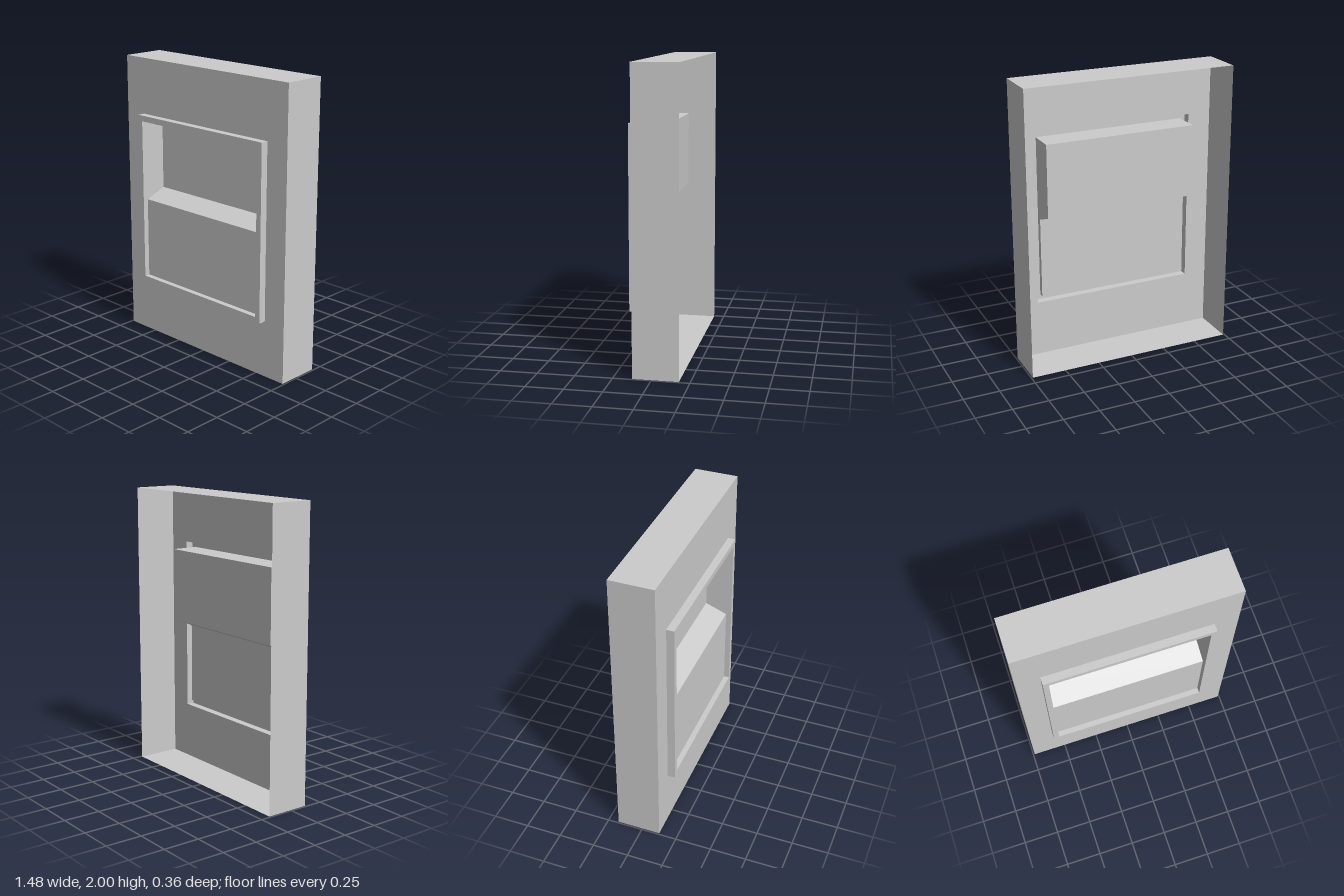
import * as THREE from 'three';

const W = 0.74, H = 2, BACK = -0.178, FACE = 0.125, RIM = 0.178;
const OUT = { x: 0.575, y0: 0.395, y1: 1.61 };
const INN = { x: 0.537, y0: 0.432, y1: 1.57 };

export function createModel() {
  const group = new THREE.Group();
  const material = new THREE.MeshStandardMaterial({
    color: 0xcccccc, flatShading: true, side: THREE.DoubleSide,
  });
  const add = (name, geometry) => {
    const mesh = new THREE.Mesh(geometry, material);
    mesh.name = name;
    group.add(mesh);
    return mesh;
  };

  // Sheet swept from a line of points along one offset
  const ribbon = (points, offset) => {
    const pos = [];
    for (let i = 0; i + 1 < points.length; i++) {
      const a = points[i], b = points[i + 1];
      const c = b.map((v, k) => v + offset[k]), d = a.map((v, k) => v + offset[k]);
      pos.push(...a, ...b, ...c, ...a, ...c, ...d);
    }
    const g = new THREE.BufferGeometry();
    g.setAttribute('position', new THREE.Float32BufferAttribute(pos, 3));
    g.computeVertexNormals();
    return g;
  };

  // Closed rectangle outline, counter-clockwise
  const corners = ({ x, y0, y1 }) => [[-x, y0], [x, y0], [x, y1], [-x, y1]];
  const walls = (rect, z0, z1) => {
    const c = corners(rect);
    return ribbon([...c, c[0]].map(([x, y]) => [x, y, z1]), [0, 0, z0 - z1]);
  };
  const plate = (outer, inner, z) => {
    const toPoints = (r) => corners(r).map(([x, y]) => new THREE.Vector2(x, y));
    const shape = new THREE.Shape(toPoints(outer));
    shape.holes.push(new THREE.Path(toPoints(inner).reverse()));
    return new THREE.ShapeGeometry(shape).translate(0, 0, z);
  };

  // Hollow housing, open at the back
  const body = { x: W, y0: 0, y1: H };
  add('housingWalls', walls(body, BACK, FACE));
  add('frontPanel', plate(body, OUT, FACE));

  // Raised frame around the opening
  add('frameSides', walls(OUT, FACE, RIM));
  add('frameFace', plate(OUT, INN, RIM));

  // Recess: deep above, sloping ledge, shallow below (z, y)
  const profile = [
    [RIM, INN.y1], [-0.012, INN.y1], [-0.012, 1.06],
    [0.14, 1.0], [0.14, INN.y0], [RIM, INN.y0],
  ];
  add('recess', ribbon(profile.map(([z, y]) => [-INN.x, y, z]), [2 * INN.x, 0, 0]));

  // Side cheeks closing the recess
  const cheek = new THREE.ShapeGeometry(
    new THREE.Shape(profile.map(([z, y]) => new THREE.Vector2(z, y))),
  ).rotateY(-Math.PI / 2);
  for (const s of [-1, 1]) {
    add(s > 0 ? 'leftCheek' : 'rightCheek', cheek).position.x = s * INN.x;
  }

  return group;
}
